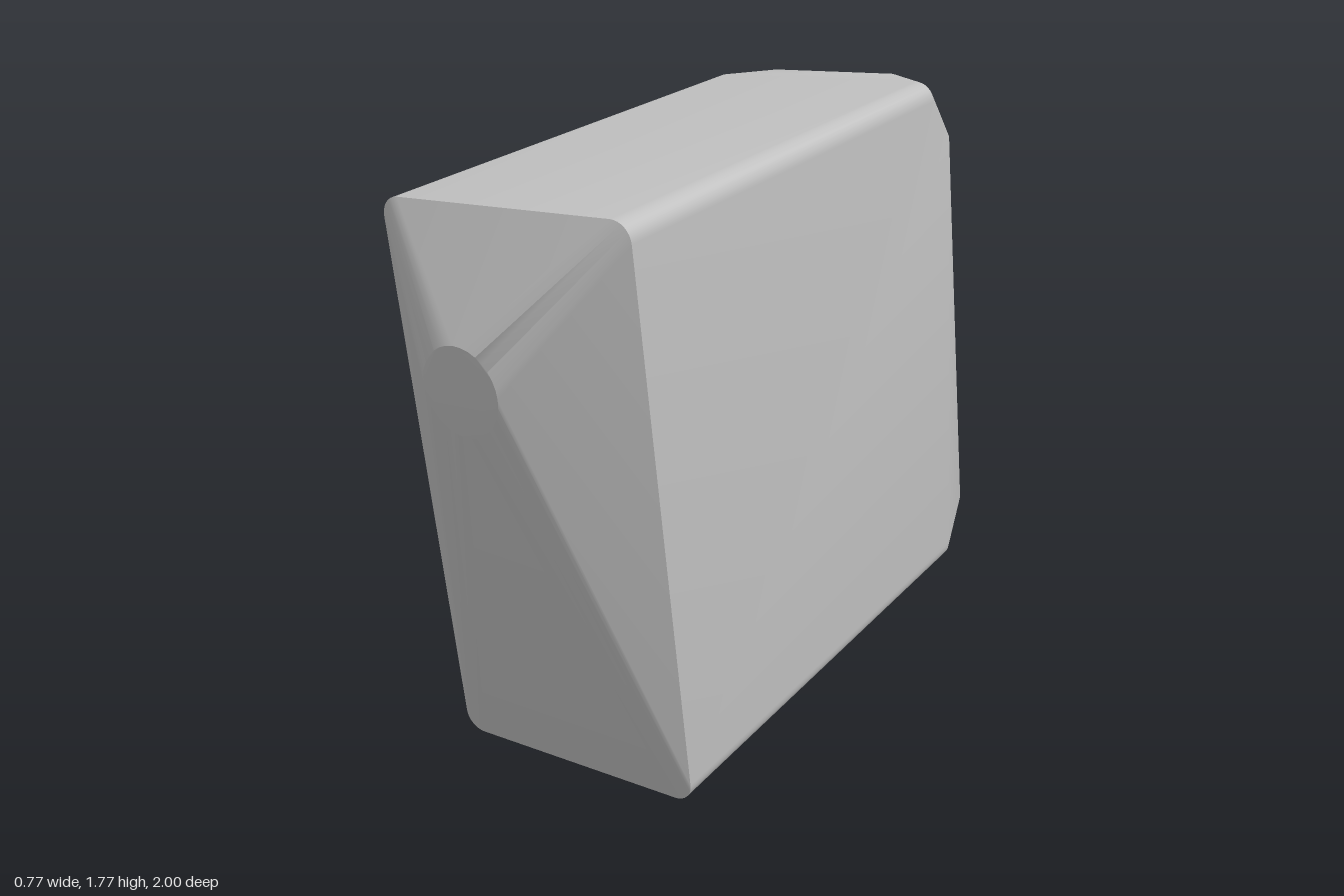
import * as THREE from 'three';
import { toCreasedNormals } from 'three/addons/utils/BufferGeometryUtils.js';
import { ConvexGeometry } from 'three/addons/geometries/ConvexGeometry.js';

const TILT = 0.155;          // lean of the whole body about x
const HALF_W = 0.385;
const BOTTOM = 0.092, TOP = 1.64;
const MID = (BOTTOM + TOP) / 2, HALF_H = (TOP - BOTTOM) / 2;

// Ring of points with the corners rounded (many steps) or chamfered (one step)
function cornerRing(z, radius, steps) {
  const points = [];
  for (const [sx, sy] of [[1, 1], [-1, 1], [-1, -1], [1, -1]]) {
    for (let i = 0; i <= steps; i++) {
      const a = (i / steps) * Math.PI / 2;
      points.push(new THREE.Vector3(
        sx * (HALF_W - radius + radius * Math.cos(a)),
        MID + sy * (HALF_H - radius + radius * Math.sin(a)), z));
    }
  }
  return points;
}

// Small round end plate
function discRing(z, radius, y, segments = 32) {
  return Array.from({ length: segments }, (_, i) => {
    const a = (i / segments) * Math.PI * 2;
    return new THREE.Vector3(radius * Math.cos(a), y + radius * Math.sin(a), z);
  });
}

export function createModel() {
  const group = new THREE.Group();
  group.name = 'taperedBlock';
  const grey = new THREE.MeshStandardMaterial({ color: 0xbfbfbf });
  grey.name = 'lightGrey';

  // Skin stretched over front disc, rounded slab, chamfered back and rear disc
  const hull = new ConvexGeometry([
    ...discRing(0.796, 0.116, 1.253),
    ...cornerRing(0.583, 0.055, 8),
    ...cornerRing(-0.884, 0.055, 8),
    ...cornerRing(-0.976, 0.18, 1),
    ...discRing(-1.19, 0.112, 1.253),
  ]);
  const body = new THREE.Mesh(toCreasedNormals(hull, THREE.MathUtils.degToRad(28)), grey);
  body.name = 'body';
  body.rotation.x = TILT;
  group.add(body);
  return group;
}
